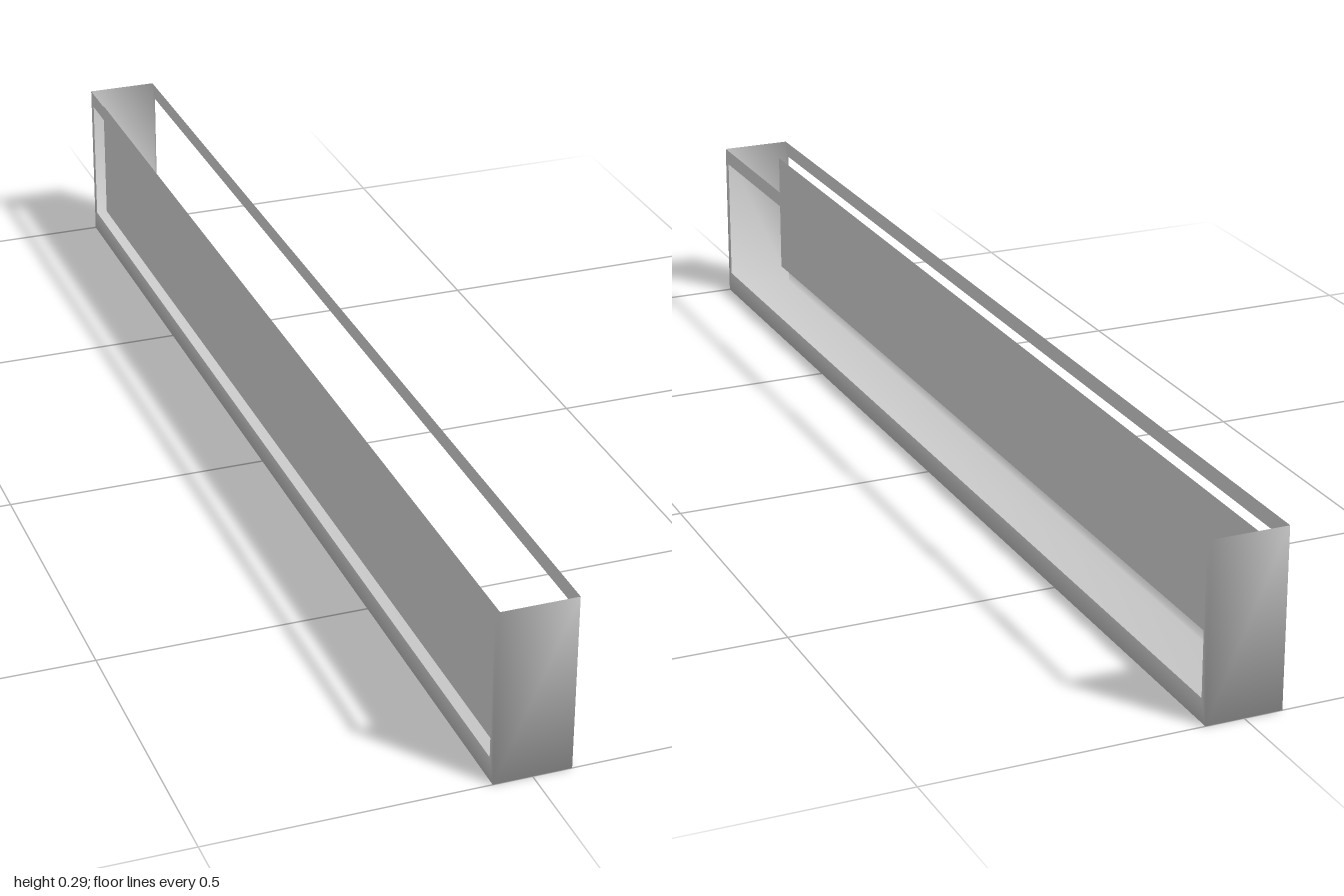
import * as THREE from 'three';

const W = 0.0615, H = 0.287, L = 1;            // half width, height, half length
const WIN_LOW = 0.038, WIN_HIGH = 0.26, WIN_L = 0.986; // side window
const PANEL_X = -0.042;

export function createModel() {
  const group = new THREE.Group();
  const material = new THREE.MeshStandardMaterial({ color: 0xcccccc, side: THREE.DoubleSide });

  // Thin open-topped shell; corners are shared so its shading is smooth
  const points = [];
  const index = [];
  const quad = (a, b, c, d) => index.push(a, b, c, a, c, d);
  for (const s of [1, -1]) {
    const rect = (x, z, low, high) =>
      points.push(x, low, z, x, low, -z, x, high, -z, x, high, z);
    rect(s * W, s * L, 0, H);                   // outer corners
    rect(s * W, s * WIN_L, WIN_LOW, WIN_HIGH);  // window corners
  }
  // Window frame on each long side
  for (const base of [0, 8]) {
    for (let i = 0; i < 4; i++) {
      const j = (i + 1) % 4;
      quad(base + i, base + j, base + 4 + j, base + 4 + i);
    }
  }
  quad(8 + 1, 0, 3, 8 + 2); // front end
  quad(1, 8, 8 + 3, 2);     // back end
  quad(8, 1, 0, 8 + 1);     // floor

  const shell = new THREE.BufferGeometry();
  shell.setAttribute('position', new THREE.Float32BufferAttribute(points, 3));
  shell.setIndex(index);
  shell.computeVertexNormals();
  const frame = new THREE.Mesh(shell, material);
  frame.name = 'openFrame';
  group.add(frame);

  // Flat panel set just inside the window of one side
  const panel = new THREE.Mesh(
    new THREE.PlaneGeometry(WIN_L * 2, WIN_HIGH - WIN_LOW).rotateY(Math.PI / 2), material);
  panel.position.set(PANEL_X, (WIN_LOW + WIN_HIGH) / 2, 0);
  panel.name = 'insetPanel';
  group.add(panel);

  return group;
}
